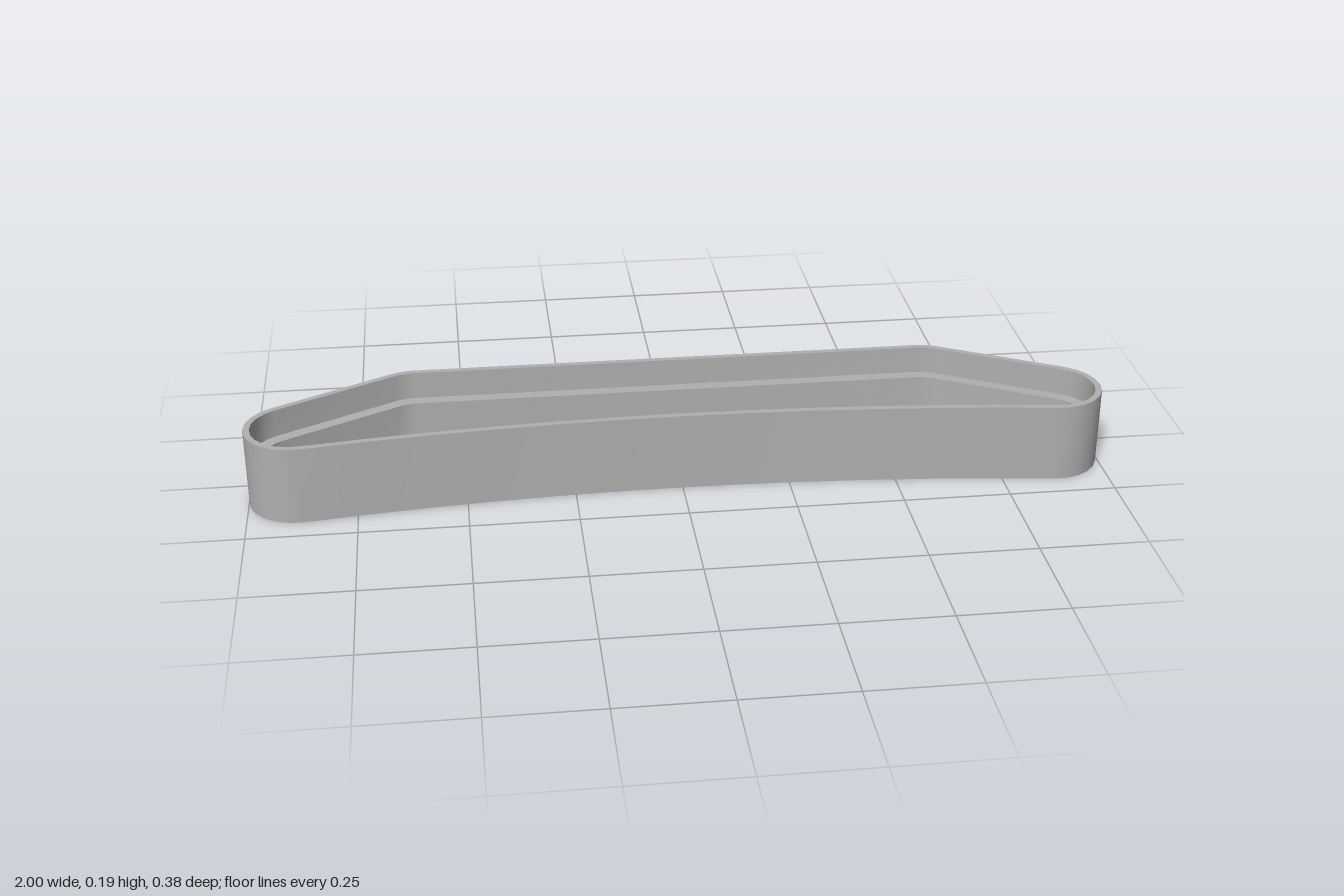
import * as THREE from 'three';
import { toCreasedNormals } from 'three/addons/utils/BufferGeometryUtils.js';

// Right half of the plan outline, back to front: [x, z, normalX, normalZ]
function halfOutline() {
  const pts = [];
  const arc = (cx, cz, r, from, to, n) => {
    for (let i = 0; i <= n; i++) {
      const a = THREE.MathUtils.degToRad(from + (to - from) * i / n);
      pts.push([cx + r * Math.cos(a), cz + r * Math.sin(a), Math.cos(a), Math.sin(a)]);
    }
  };
  arc(0.61, -0.07, 0.12, -90, -61, 3);     // back corner
  arc(0.885, 0.075, 0.115, -61, 97, 10);   // rounded end
  // shallow hollow front edge
  const endX = 0.871, rise = 0.061, n = 6;
  for (let i = 1; i <= n; i++) {
    const x = endX * (1 - i / n);
    const slope = 2 * rise * x / (endX * endX);
    const len = Math.hypot(slope, 1);
    pts.push([x, 0.128 + rise * (x / endX) ** 2, -slope / len, 1 / len]);
  }
  return pts;
}

// Closed cross-section [inset, y] swept round the closed outline
function sweepRing(outline, section) {
  const pos = [], index = [], m = section.length, n = outline.length;
  for (const [x, z, nx, nz] of outline)
    for (const [d, y] of section) pos.push(x - nx * d, y, z - nz * d);
  for (let i = 0; i < n; i++) {
    for (let j = 0; j < m; j++) {
      const i2 = (i + 1) % n, j2 = (j + 1) % m;
      const a = i * m + j, b = i * m + j2, c = i2 * m + j, d = i2 * m + j2;
      index.push(a, b, c, b, d, c);
    }
  }
  const geo = new THREE.BufferGeometry();
  geo.setAttribute('position', new THREE.Float32BufferAttribute(pos, 3));
  geo.setIndex(index);
  return toCreasedNormals(geo, 0.5);
}

export function createModel() {
  const group = new THREE.Group();
  const grey = new THREE.MeshStandardMaterial({ color: 0xb0b0b0 });
  grey.name = 'lightGrey';

  const right = halfOutline();
  const left = right.slice(0, -1).reverse().map(([x, z, nx, nz]) => [-x, z, -nx, nz]);

  // Thin wall with a ledge running round its inside
  const height = 0.186, wall = 0.015, ledge = 0.045, ledgeTop = 0.12, ledgeBottom = 0.09;
  const section = [
    [0, 0], [0, height], [wall, height], [wall, ledgeTop],
    [ledge, ledgeTop], [ledge, ledgeBottom], [wall, ledgeBottom], [wall, 0],
  ];
  const frame = new THREE.Mesh(sweepRing([...right, ...left], section), grey);
  frame.name = 'frameWithInnerLedge';
  group.add(frame);
  return group;
}
